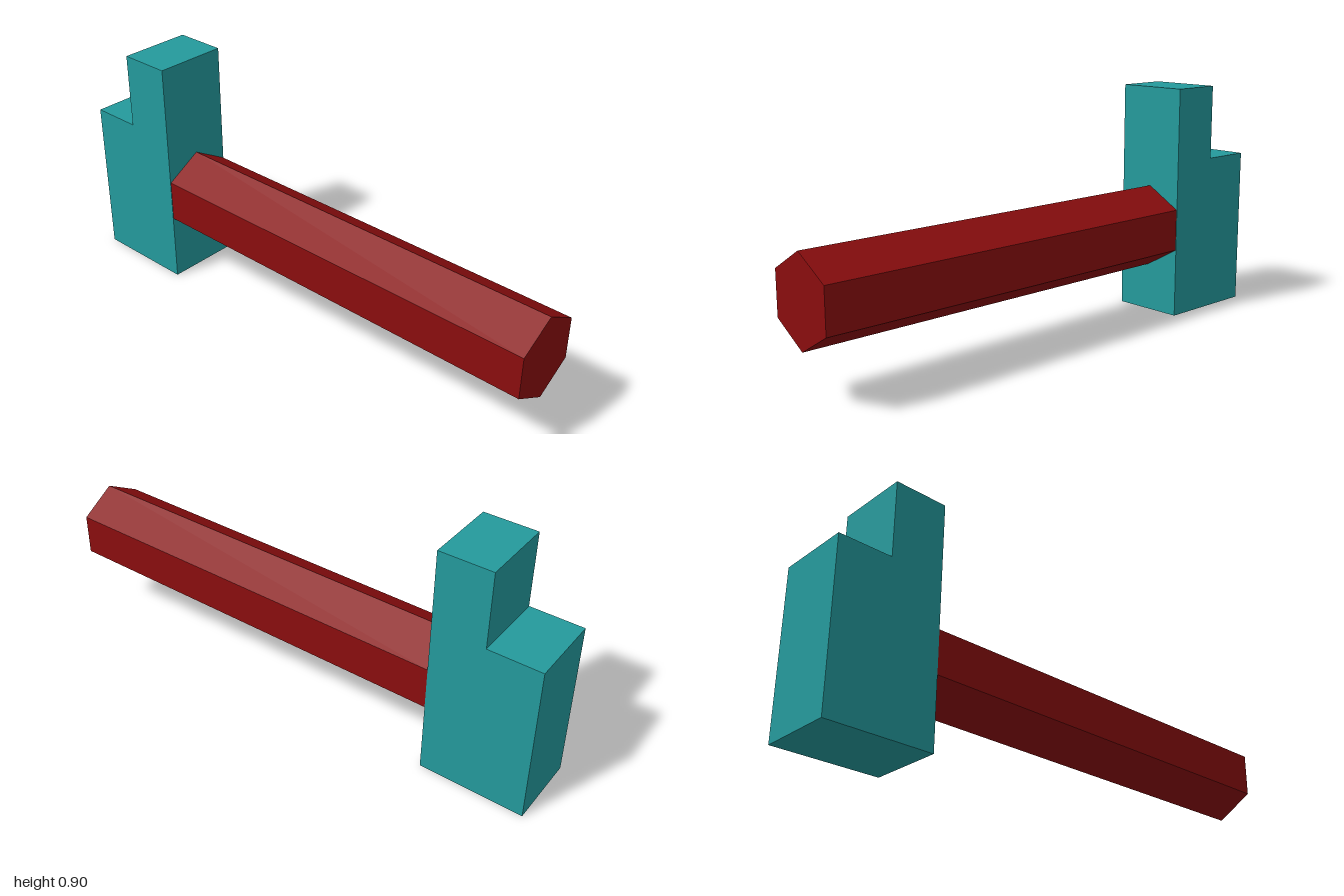
import * as THREE from 'three';

export function createModel() {
  const model = new THREE.Group();
  const teal = new THREE.MeshStandardMaterial({ name: 'teal', color: 0x249a9c, flatShading: true });
  const darkRed = new THREE.MeshStandardMaterial({ name: 'dark red', color: 0x8a0d0e, flatShading: true });

  // Stepped head: side profile (distance to the back, height) extruded across the width
  const width = 0.283;
  const profile = new THREE.Shape([
    [0.6, 0], [1, 0], [1, 0.613], [0.8, 0.613], [0.8, 0.9], [0.6, 0.9],
  ].map(([back, y]) => new THREE.Vector2(back, y)));
  const headGeometry = new THREE.ExtrudeGeometry(profile, { depth: width, bevelEnabled: false });
  headGeometry.translate(0, 0, -width / 2).rotateY(Math.PI / 2);
  const head = new THREE.Mesh(headGeometry, teal);
  head.name = 'head';

  // Hexagonal handle running forward from the head, one edge on top
  const handleGeometry = new THREE.CylinderGeometry(0.161, 0.161, 1.6, 6);
  handleGeometry.rotateX(Math.PI / 2);
  const handle = new THREE.Mesh(handleGeometry, darkRed);
  handle.name = 'handle';
  handle.position.set(0, 0.348, 0.2);

  model.add(head, handle);
  return model;
}
